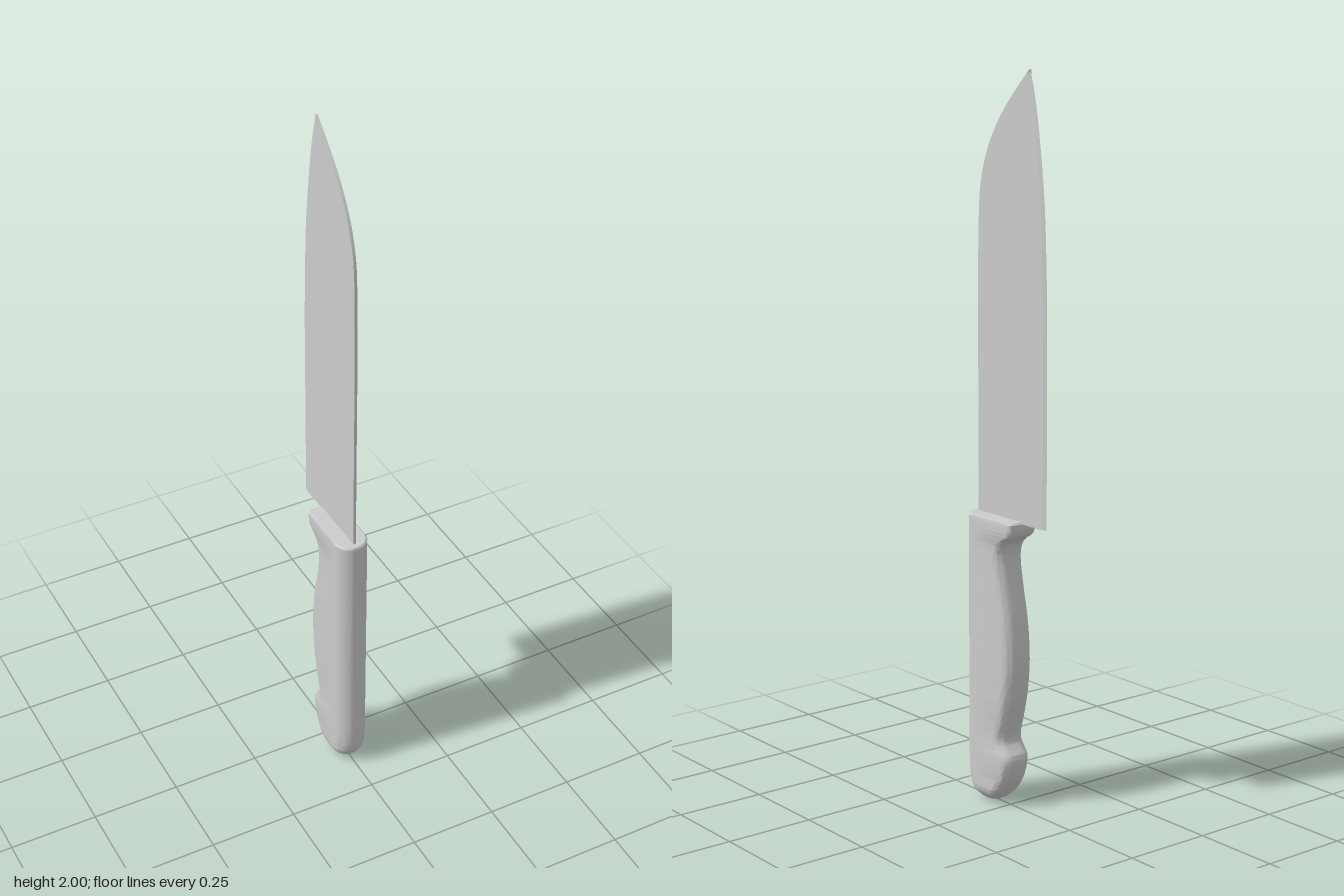
import * as THREE from 'three';
import { toCreasedNormals } from 'three/addons/utils/BufferGeometryUtils.js';

// Skin closed rings (arrays of Vector3, counter-clockwise from above), bottom to top, with caps
function loft(rings, crease) {
  const n = rings[0].length, positions = [], index = [];
  const add = (p) => positions.push(p.x, p.y, p.z);
  rings.forEach((ring) => ring.forEach(add));
  for (let i = 0; i < rings.length - 1; i++) {
    for (let j = 0; j < n; j++) {
      const k = (j + 1) % n, a = i * n + j, b = i * n + k;
      index.push(a, b, b + n, a, b + n, a + n);
    }
  }
  [rings[0], rings[rings.length - 1]].forEach((ring, top) => {
    const centre = new THREE.Vector3();
    ring.forEach((p) => centre.addScaledVector(p, 1 / n));
    add(centre);
    const c = rings.length * n + top, base = top ? (rings.length - 1) * n : 0;
    for (let j = 0; j < n; j++) {
      const k = (j + 1) % n;
      if (top) index.push(c, base + j, base + k);
      else index.push(c, base + k, base + j);
    }
  });
  const geometry = new THREE.BufferGeometry();
  geometry.setAttribute('position', new THREE.Float32BufferAttribute(positions, 3));
  geometry.setIndex(index);
  return toCreasedNormals(geometry, crease);
}

// Smooth a list of [height, spine z, edge z] stations
function stations(list, count) {
  return new THREE.CatmullRomCurve3(list.map((s) => new THREE.Vector3(...s)), false, 'centripetal')
    .getPoints(count);
}

// Handle section: broad rounded spine at +z, smaller rounded corners at -z
function handleRing(y, spine, back, inset = 0) {
  const k = Math.min(1, y / 0.045);
  const w = 0.047 * Math.sqrt(1 - (1 - k) ** 2) - inset;
  const zf = spine - inset, zb = back + inset, length = zf - zb;
  const front = Math.min(0.045, length * 0.5);
  const mid = THREE.MathUtils.smoothstep(0.79 - y, 0, 0.12);
  const rx = Math.min(w, 0.015 + 0.017 * mid);
  const rz = Math.min(0.015 + 0.013 * mid, length * 0.45);
  const half = [];
  for (let i = 0; i <= 8; i++) {
    const a = (i / 8) * Math.PI / 2;
    half.push([w * Math.sin(a), zf - front + front * Math.cos(a)]);
  }
  for (let i = 0; i <= 6; i++) {
    const a = (i / 6) * Math.PI / 2;
    half.push([w - rx + rx * Math.cos(a), zb + rz - rz * Math.sin(a)]);
  }
  const other = half.slice(1).reverse().map(([x, z]) => [-x, z]);
  return [...half, ...other].map(([x, z]) => new THREE.Vector3(x, y, z));
}

function buildHandle() {
  const profile = stations([
    [0.001, 0.088, 0.06], [0.008, 0.112, 0.042], [0.02, 0.129, 0.025], [0.04, 0.142, 0.007],
    [0.07, 0.15, -0.014], [0.1, 0.153, -0.027], [0.13, 0.154, -0.034], [0.147, 0.154, -0.032],
    [0.165, 0.154, -0.018], [0.182, 0.154, -0.007], [0.2, 0.154, -0.005], [0.24, 0.154, -0.015],
    [0.32, 0.154, -0.034], [0.42, 0.154, -0.043], [0.52, 0.154, -0.035], [0.62, 0.154, -0.015],
    [0.69, 0.154, -0.003], [0.72, 0.154, -0.002], [0.742, 0.154, -0.009], [0.757, 0.154, -0.025],
    [0.77, 0.154, -0.045], [0.785, 0.154, -0.053], [0.805, 0.154, -0.055],
  ], 90);
  const rings = profile.map((p) => handleRing(p.x, p.y, p.z));
  rings.push(handleRing(0.81, 0.154, -0.055, 0.004));
  return loft(rings, 0.7);
}

// Blade section: flat slab with a narrow ground bevel on the cutting edge
function bladeRing(y, spine, edge) {
  const t = 0.004, bevel = Math.min(0.012, (spine - edge) * 0.5);
  return [[t, spine], [t, edge + bevel], [0, edge], [-t, edge + bevel], [-t, spine]]
    .map(([x, z]) => new THREE.Vector3(x, y, z));
}

function buildBlade() {
  const profile = stations([
    [0.804, 0.135, -0.15], [1.1, 0.135, -0.15], [1.4, 0.135, -0.149], [1.635, 0.13, -0.14],
    [1.71, 0.121, -0.133], [1.79, 0.094, -0.123], [1.87, 0.046, -0.111], [1.94, -0.016, -0.097],
    [2, -0.078, -0.08],
  ], 40);
  return loft(profile.map((p) => bladeRing(p.x, p.y, p.z)), 0.3);
}

export function createModel() {
  const model = new THREE.Group();
  model.name = 'kitchenKnife';
  const steel = new THREE.MeshStandardMaterial({ color: 0xcccccc });
  steel.name = 'lightGrey';

  const blade = new THREE.Mesh(buildBlade(), steel);
  blade.name = 'blade';
  const handle = new THREE.Mesh(buildHandle(), steel);
  handle.name = 'handle';
  model.add(blade, handle);
  return model;
}
